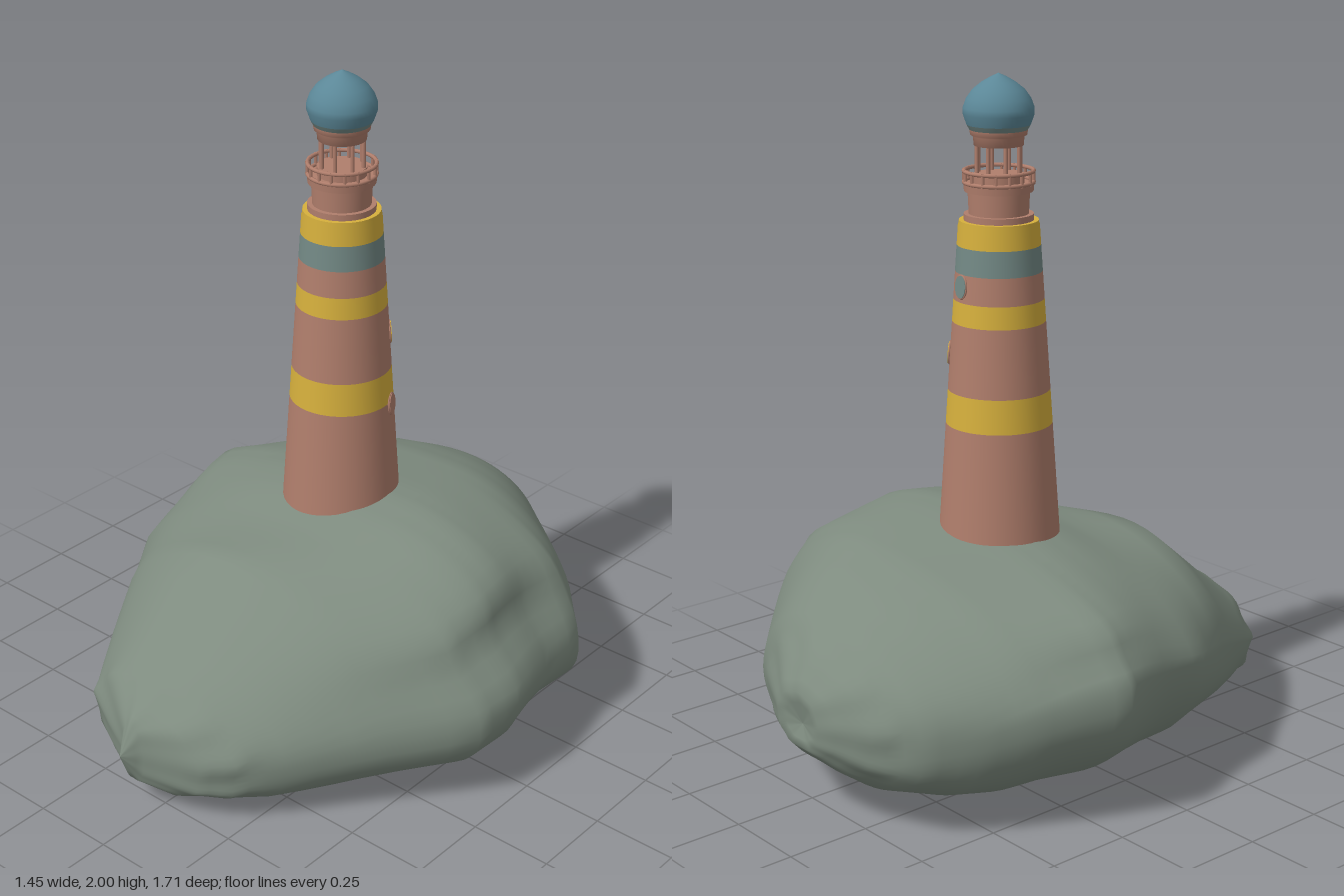
import * as THREE from 'three';

const mat = (name, color, side = THREE.FrontSide) =>
  Object.assign(new THREE.MeshStandardMaterial({ color, side }), { name });

// Rock cross-sections from back to front:
// z, left edge x, right edge x, bottom y, top y, left edge y, right edge y, crest x
const SECTIONS = [
  [-0.83, -0.08, -0.08, 0.28, 0.28, 0.28, 0.28, -0.08],
  [-0.85, -0.18, 0.01, 0.22, 0.38, 0.29, 0.30, -0.09],
  [-0.79, -0.34, 0.13, 0.16, 0.46, 0.29, 0.30, -0.07],
  [-0.71, -0.465, 0.28, 0.10, 0.54, 0.29, 0.30, 0.0],
  [-0.58, -0.555, 0.43, 0.05, 0.61, 0.32, 0.31, 0.05],
  [-0.45, -0.63, 0.58, 0.02, 0.66, 0.37, 0.32, 0.1],
  [-0.34, -0.675, 0.685, 0.01, 0.68, 0.40, 0.32, 0.14],
  [-0.20, -0.73, 0.68, 0, 0.705, 0.42, 0.30, 0.18],
  [-0.10, -0.70, 0.70, 0, 0.715, 0.41, 0.30, 0.2],
  [0.02, -0.665, 0.725, 0, 0.70, 0.39, 0.29, 0.18],
  [0.17, -0.64, 0.70, 0, 0.65, 0.37, 0.28, 0.1],
  [0.38, -0.52, 0.53, 0.005, 0.605, 0.32, 0.26, -0.08],
  [0.60, -0.39, 0.34, 0.015, 0.425, 0.24, 0.20, -0.10],
  [0.70, -0.33, 0.24, 0.035, 0.36, 0.20, 0.18, -0.10],
  [0.76, -0.21, 0.15, 0.055, 0.32, 0.18, 0.17, -0.08],
  [0.81, -0.11, -0.02, 0.09, 0.28, 0.18, 0.17, -0.07],
  [0.855, -0.07, -0.07, 0.19, 0.19, 0.19, 0.19, -0.07],
];

const bell = (v, centre, width) => Math.exp(-(((v - centre) / width) ** 2));

function rockGeometry(sides = 56, steps = 3) {
  const pos = [], index = [];
  const last = (SECTIONS.length - 1) * steps;
  for (let i = 0; i <= last; i++) {
    const s = Math.min(Math.floor(i / steps), SECTIONS.length - 2), f = i / steps - s;
    const [z, xl, xr, yb, yt, yl, yr, xc] = SECTIONS[s].map((v, k) => v + (SECTIONS[s + 1][k] - v) * f);
    for (let j = 0; j < sides; j++) {
      const t = (j / sides) * Math.PI * 2, c = Math.cos(t), sn = Math.sin(t);
      // four rounded quarters meeting at the crest, base and side edges
      const upper = sn > 0, right = c > 0;
      const px = upper ? 1 : 0.85;
      // the front left shoulder slopes away more flatly
      const py = !upper ? 0.85 : right ? 1 : 1 + 0.3 * THREE.MathUtils.smoothstep(z, -0.1, 0.3);
      const ey = right ? yr : yl;
      const cx = upper ? xc : (xl + xr) / 2;
      // hollows above the side ledges
      const dent = 1 - 0.15 * bell(t, 0.42, 0.24) * bell(z, 0, 0.3)
        - 0.045 * bell(t, Math.PI - 0.25, 0.2) * bell(z, -0.2, 0.25);
      // gentle weathering, with creases gathering at both ends
      const bump = 1 + 0.01 * Math.sin(3 * t + 7 * z) + 0.008 * Math.sin(7 * t - 11 * z)
        + (xr - xl < 0.6 ? 0.035 * Math.sin(9 * t) : 0);
      const ax = Math.abs(c) ** px * (right ? xr - cx : cx - xl) * dent * bump;
      const ay = Math.abs(sn) ** py * (upper ? yt - ey : ey - yb) * (1 + (bump - 1) * 0.6);
      pos.push(cx + Math.sign(c) * ax, Math.max(0, ey + Math.sign(sn) * ay), z);
      if (i < last) {
        const a = i * sides + j, b = i * sides + (j + 1) % sides;
        index.push(a, b, a + sides, b, b + sides, a + sides);
      }
    }
  }
  const g = new THREE.BufferGeometry();
  g.setAttribute('position', new THREE.Float32BufferAttribute(pos, 3));
  g.setIndex(index);
  g.computeVertexNormals();
  return g;
}

export function createModel() {
  const model = new THREE.Group();
  model.name = 'lighthouseOnRock';
  const stone = mat('rockGrey', 0x7e8b7f);
  const pink = mat('terracotta', 0xb07e6c);
  const pinkOpen = mat('terracottaOpen', 0xb07e6c, THREE.DoubleSide);
  const yellow = mat('ochreYellow', 0xd6b03d);
  const teal = mat('greyTeal', 0x738985);
  const blue = mat('domeBlue', 0x5b8797);

  const add = (parent, name, geo, material, x = 0, y = 0, z = 0) => {
    const m = new THREE.Mesh(geo, material);
    m.name = name;
    m.position.set(x, y, z);
    parent.add(m);
    return m;
  };
  const lathe = pts => new THREE.LatheGeometry(pts.map(p => new THREE.Vector2(...p)), 40);

  add(model, 'rock', rockGeometry(), stone);

  const tower = new THREE.Group();
  tower.name = 'tower';
  tower.position.set(-0.045, 0, -0.088);
  model.add(tower);

  // tapering shaft, split into painted bands
  const radius = y => 0.178 - (y - 0.65) * 0.067;
  const bands = [[0.55, 1.0, pink], [1.0, 1.1, yellow], [1.1, 1.3, pink], [1.3, 1.365, yellow],
    [1.365, 1.445, pink], [1.445, 1.52, teal], [1.52, 1.583, yellow]];
  bands.forEach(([y0, y1, m], i) => add(tower, 'shaftBand' + (i + 1),
    new THREE.CylinderGeometry(radius(y1), radius(y0), y1 - y0, 40, 1, true), m, 0, (y0 + y1) / 2));

  // stepped neck flaring out to the gallery deck: bottom y, top y, bottom radius, top radius
  const neck = [[1.575, 1.59, 0.114, 0.113], [1.59, 1.608, 0.099, 0.099],
    [1.608, 1.672, 0.085, 0.088], [1.672, 1.694, 0.098, 0.1]];
  neck.forEach(([y0, y1, r0, r1], i) => add(tower, 'neckStep' + (i + 1),
    new THREE.CylinderGeometry(r1, r0, y1 - y0, 40), i ? pink : yellow, 0, (y0 + y1) / 2));

  // gallery railing
  const railing = new THREE.Group();
  railing.name = 'galleryRailing';
  tower.add(railing);
  for (const y of [1.697, 1.728]) {
    const rail = add(railing, 'rail', new THREE.TorusGeometry(0.098, 0.006, 8, 40), pink, 0, y);
    rail.rotation.x = Math.PI / 2;
  }
  for (let i = 0; i < 16; i++) {
    const a = (i / 16) * Math.PI * 2;
    add(railing, 'railPost', new THREE.CylinderGeometry(0.005, 0.005, 0.042, 6), pink,
      Math.sin(a) * 0.098, 1.712, Math.cos(a) * 0.098);
  }

  // open lantern room
  const lantern = new THREE.Group();
  lantern.name = 'lanternRoom';
  tower.add(lantern);
  add(lantern, 'lanternSill', new THREE.CylinderGeometry(0.072, 0.072, 0.03, 32), pink, 0, 1.705);
  for (let i = 0; i < 8; i++) {
    const a = ((i + 0.5) / 8) * Math.PI * 2;
    add(lantern, 'lanternColumn', new THREE.CylinderGeometry(0.006, 0.006, 0.1, 8), pink,
      Math.sin(a) * 0.064, 1.76, Math.cos(a) * 0.064);
  }
  add(lantern, 'lanternCornice', lathe([[0.058, 1.84], [0.058, 1.8], [0.07, 1.8], [0.072, 1.825],
    [0.08, 1.83], [0.082, 1.845]]), pinkOpen);

  // onion dome with a greyer foot
  add(tower, 'domeFoot', lathe([[0, 1.842], [0.08, 1.842], [0.082, 1.844], [0.09, 1.858]]), teal);
  add(tower, 'dome', lathe([[0.09, 1.858], [0.1, 1.887], [0.1, 1.905], [0.091, 1.93],
    [0.073, 1.955], [0.048, 1.975], [0.022, 1.99], [0, 2.0]]), blue);

  // oval windows spiralling up the shaft, angles measured from +x toward the back
  const windows = [[0.99, 22, pink], [1.2, 43, yellow], [1.41, 83, teal]];
  windows.forEach(([y, deg, m]) => {
    const holder = new THREE.Group();
    holder.name = 'window';
    const a = THREE.MathUtils.degToRad(deg), r = radius(y);
    holder.position.set(Math.cos(a) * r, y, -Math.sin(a) * r);
    holder.rotation.y = Math.PI / 2 + a;
    tower.add(holder);
    const pane = add(holder, 'windowPane', new THREE.CylinderGeometry(0.026, 0.026, 0.009, 20), m);
    pane.rotation.x = Math.PI / 2 - 0.067;
    pane.scale.z = 1.25;
    const frame = add(holder, 'windowFrame', new THREE.TorusGeometry(0.026, 0.003, 6, 20), pink);
    frame.rotation.x = -0.067;
    frame.scale.y = 1.25;
  });
  return model;
}
